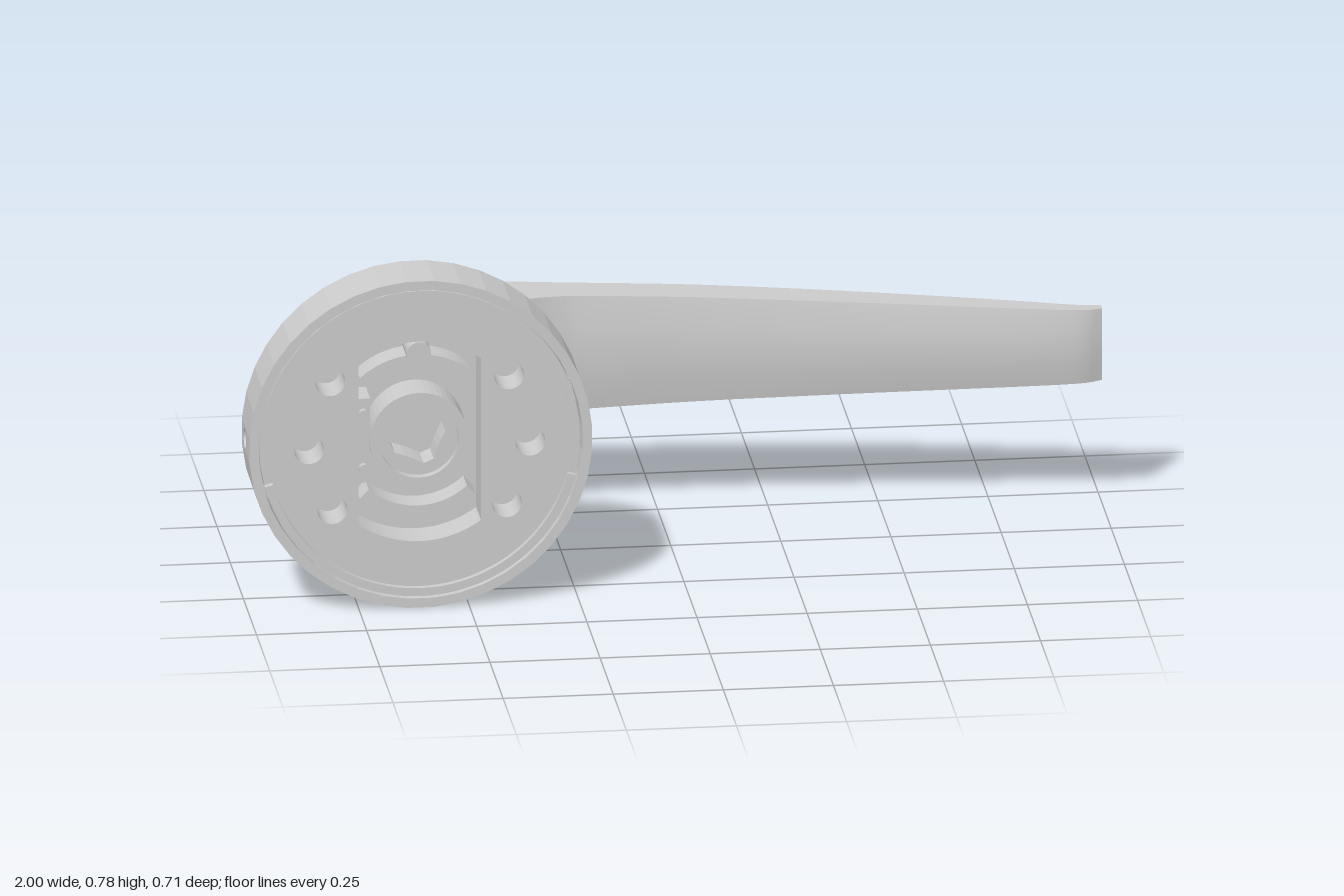
import * as THREE from 'three';
import { toCreasedNormals } from 'three/addons/utils/BufferGeometryUtils.js';

const grey = new THREE.MeshStandardMaterial({ color: 0xcccccc, side: THREE.DoubleSide });
const facetedGrey = new THREE.MeshStandardMaterial({ color: 0xcccccc, side: THREE.DoubleSide, flatShading: true });
const black = new THREE.MeshStandardMaterial({ color: 0x111111 });

const CX = -0.61, CY = 0.39;         // axis of the round plate
const SIDES = 40, STEP = Math.PI / SIDES;
const R = 0.39, R_IN = 0.368, Z_BACK = 0.212, Z_FRONT = 0.356;

function add(parent, name, geometry, material = grey) {
  const mesh = new THREE.Mesh(geometry, material);
  mesh.name = name;
  parent.add(mesh);
  return mesh;
}

// extrusion along z between two depths
function slab(shape, z0, z1) {
  return new THREE.ExtrudeGeometry(shape, { depth: z1 - z0, bevelEnabled: false, curveSegments: 24 }).translate(0, 0, z0);
}

function circle(x, y, r, Type = THREE.Path) {
  return new Type().absarc(x, y, r, 0, Math.PI * 2, false);
}

function arcBand(rIn, rOut, from, to) {
  return new THREE.Shape().absarc(0, 0, rOut, from, to, false).absarc(0, 0, rIn, to, from, true);
}

function disc(r, z0, z1, start = 0, length = Math.PI * 2, sides = SIDES, open = false) {
  return new THREE.CylinderGeometry(r, r, z1 - z0, sides, 1, open, start, length)
    .rotateX(Math.PI / 2).translate(0, 0, (z0 + z1) / 2);
}

// Lever: ridge on the outside, sharp shoulders, gently domed inner face
function leverGeometry() {
  const curve = (pts) => new THREE.CatmullRomCurve3(pts.map(([x, z]) => new THREE.Vector3(x, 0, z)), false, 'catmullrom', 0.5);
  const outer = curve([[-.743, .2], [-.78, .125], [-.807, .04], [-.818, -.03], [-.797, -.13], [-.743, -.22],
    [-.674, -.286], [-.594, -.329], [-.492, -.348], [-.342, -.355], [-.18, -.356], [.085, -.345],
    [.353, -.313], [.62, -.27], [.834, -.23], [.95, -.202], [1, -.189]]);
  const inner = curve([[-.476, .2], [-.457, .1], [-.443, .04], [-.428, -.02], [-.41, -.07], [-.385, -.115],
    [-.35, -.158], [-.31, -.188], [-.262, -.207], [-.22, -.213], [-.16, -.214], [.085, -.205],
    [.353, -.18], [.62, -.152], [.834, -.13], [.945, -.125], [.996, -.14]]);
  const halfHeight = (x) => Math.min(0.157, 0.1276 - 0.0426 * x);
  const N = 64, M = 8, pos = [], idx = [];
  for (let i = 0; i <= N; i++) {
    const o = outer.getPoint(i / N), n = inner.getPoint(i / N);
    const across = n.clone().sub(o), width = across.length();
    across.normalize();
    const put = (distance, side) => {
      const p = o.clone().addScaledVector(across, distance);
      pos.push(p.x, CY + side * halfHeight(p.x), p.z);
    };
    const shoulder = Math.min(0.036, width * 0.4);
    const dome = Math.min(0.015, width * 0.12);
    put(0, 0);
    put(shoulder, 1);
    for (const s of [1, 0.5, 0, -0.5, -1]) put(width - dome * s * s, s);
    put(shoulder, -1);
  }
  for (let i = 0; i < N; i++) for (let j = 0; j < M; j++) {
    const a = i * M + j, b = i * M + (j + 1) % M;
    idx.push(a, b, a + M, b, b + M, a + M);
  }
  for (let j = 1; j < M - 1; j++) {
    idx.push(0, j + 1, j);
    idx.push(N * M, N * M + j, N * M + j + 1);
  }
  const g = new THREE.BufferGeometry();
  g.setAttribute('position', new THREE.Float32BufferAttribute(pos, 3));
  g.setIndex(idx);
  return toCreasedNormals(g, 0.35);
}

// Cup-shaped cover with a screw hole on each side
function addCover(rose) {
  const cover = new THREE.Group();
  cover.name = 'roseCover';
  rose.add(cover);
  add(cover, 'coverBack', disc(R, Z_BACK, Z_BACK + 0.02, Math.PI / 2 + STEP), facetedGrey);
  add(cover, 'coverRim', new THREE.RingGeometry(R_IN, R, SIDES, 1, STEP).translate(0, 0, Z_FRONT));
  const w = R * Math.sin(STEP), zMid = 0.301;
  for (const side of [1, -1]) {
    const start = side * Math.PI / 2 + STEP, length = Math.PI - 2 * STEP;
    for (const r of [R, R_IN])
      add(cover, 'coverWall', disc(r, Z_BACK, Z_FRONT, start, length, SIDES / 2 - 1, true), facetedGrey);
    const patch = new THREE.Shape().moveTo(-w, Z_BACK).lineTo(w, Z_BACK).lineTo(w, Z_FRONT).lineTo(-w, Z_FRONT).closePath();
    patch.holes.push(circle(0, zMid, 0.023));
    const g = slab(patch, 0, 0.022).rotateX(Math.PI / 2).rotateZ(side * Math.PI / 2)
      .scale(1, 1, -1);
    // stand the pierced facet upright in the wall
    g.computeBoundingBox();
    const b = g.boundingBox, c = b.getCenter(new THREE.Vector3());
    g.translate(side * (R * Math.cos(STEP) - 0.011) - c.x, -c.y, (Z_BACK + Z_FRONT) / 2 - c.z);
    g.computeVertexNormals();
    // mirroring reversed the corners, so restore their order
    const p = g.attributes.position, v = new THREE.Vector3(), u = new THREE.Vector3();
    for (let i = 0; i < p.count; i += 3) {
      v.fromBufferAttribute(p, i + 1);
      u.fromBufferAttribute(p, i + 2);
      p.setXYZ(i + 1, u.x, u.y, u.z);
      p.setXYZ(i + 2, v.x, v.y, v.z);
    }
    g.computeVertexNormals();
    add(cover, 'screwHoleFacet', g);
  }
}

// Mounting plate with six holes and a central slot
function addMountingPlate(rose) {
  const plate = circle(0, 0, 0.364, THREE.Shape);
  for (const side of [1, -1])
    for (const [x, y] of [[.203, .15], [.251, -.01], [.198, -.155]]) plate.holes.push(circle(side * x, y, 0.034));
  const slotR = 0.238, a = Math.acos(0.139 / slotR);
  plate.holes.push(new THREE.Path().absarc(0, 0, slotR, a, Math.PI - a, false)
    .absarc(0, 0, slotR, Math.PI + a, 2 * Math.PI - a, false).closePath());
  add(rose, 'mountingPlate', slab(plate, 0.245, 0.335));
  const gap = 0.25;
  for (const s of [0, Math.PI])
    add(rose, 'plateLip', slab(arcBand(0.345, 0.364, s + gap, s + Math.PI - gap), 0.335, 0.35));
}

// Spring cassette and spindle socket inside the slot
function addSocket(rose) {
  for (const s of [0, Math.PI])
    add(rose, 'springRing', slab(arcBand(0.165, 0.195, s + 0.83, s + Math.PI - 0.83), 0.232, 0.3));
  const collar = circle(0, 0, 0.112, THREE.Shape);
  collar.holes.push(circle(0, 0, 0.09));
  add(rose, 'collar', slab(collar, 0.232, 0.325));
  const hub = circle(0, 0, 0.09, THREE.Shape), hole = [];
  for (let i = 0; i < 16; i++) {
    const r = i % 4 < 2 ? 0.064 : 0.052, t = (i + 0.5) * Math.PI / 8;
    hole.push(new THREE.Vector2(r * Math.cos(t), r * Math.sin(t)));
  }
  hub.holes.push(new THREE.Path(hole));
  add(rose, 'spindleSocket', slab(hub, 0.232, 0.305));
  add(rose, 'stopPin', disc(0.028, 0.232, 0.32, 0, Math.PI * 2, 20)).position.y = 0.203;
  add(rose, 'springClip', new THREE.BoxGeometry(0.03, 0.2, 0.08).translate(-0.125, 0, 0.275));
  for (const y of [0.065, -0.065])
    add(rose, 'clipPin', disc(0.012, 0.232, 0.33, 0, Math.PI * 2, 12)).position.set(-0.125, y, 0);
}

export function createModel() {
  const model = new THREE.Group();
  model.name = 'doorHandle';

  const rose = new THREE.Group();
  rose.name = 'rose';
  rose.position.set(CX, CY, 0);
  model.add(rose);
  addCover(rose);
  addMountingPlate(rose);
  addSocket(rose);
  add(rose, 'neck', disc(0.14, 0.19, 0.215));

  add(model, 'lever', leverGeometry());

  // set screw on the top of the lever and the small bead above it
  add(model, 'setScrew', new THREE.CylinderGeometry(0.019, 0.019, 0.01, 20)).position.set(CX, 0.5395, 0.136);
  add(model, 'bead', new THREE.SphereGeometry(0.013, 16, 12), black).position.set(CX, 0.589, 0);
  return model;
}
